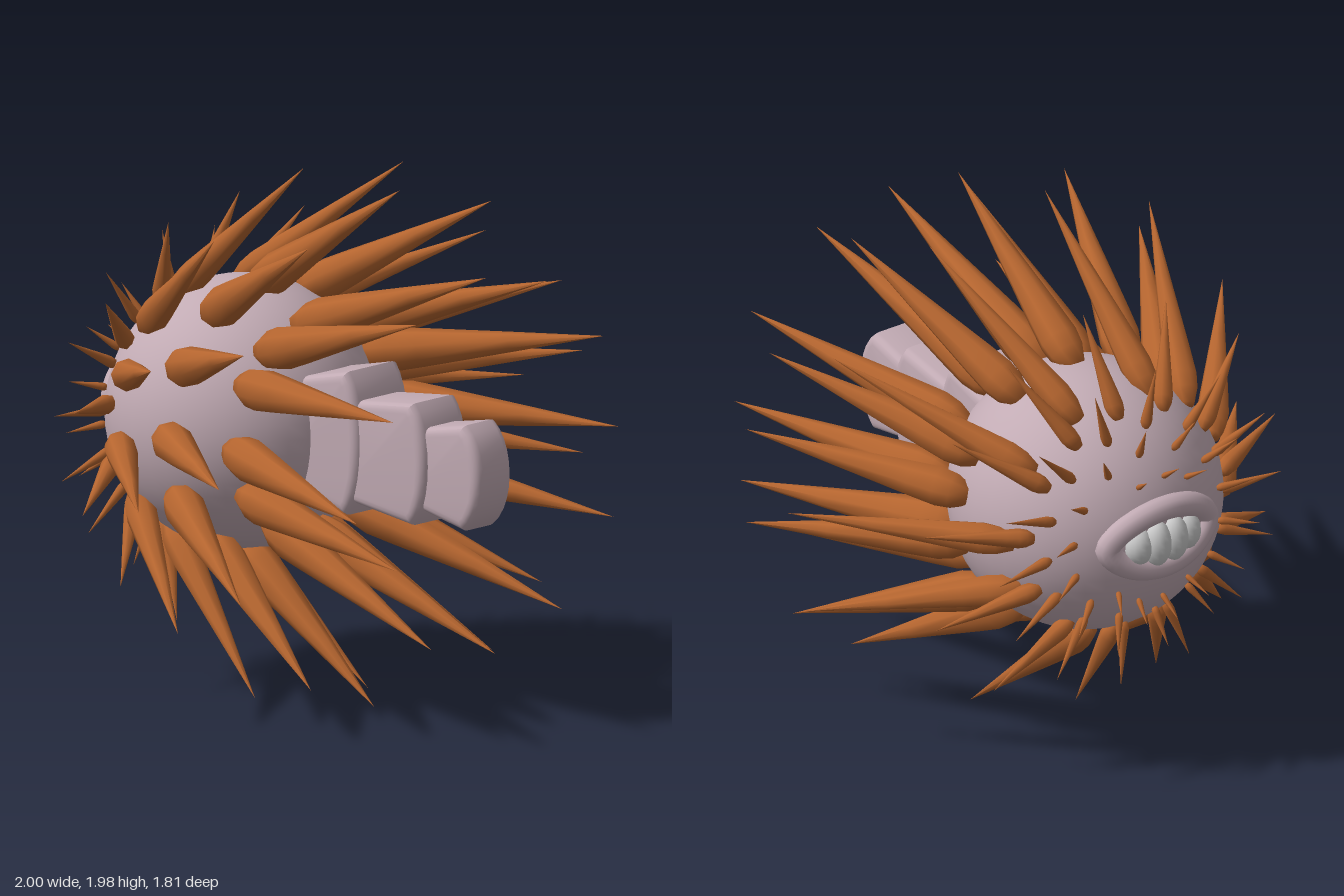
import * as THREE from 'three';
import { toCreasedNormals } from 'three/addons/utils/BufferGeometryUtils.js';

const skin = new THREE.MeshStandardMaterial({ color: 0xc2abb4 });
const horn = new THREE.MeshStandardMaterial({ color: 0xb5652f, side: THREE.DoubleSide });
const grey = new THREE.MeshStandardMaterial({ color: 0xcccccc });
const CY = 1, CZ = -0.38, R = 0.5;
const UP = new THREE.Vector3(0, 1, 0);

// Unit spike: blunt foot, widest near the base, straight long point
const spikeGeometry = new THREE.LatheGeometry(
  [[0, -0.01], [0.55, 0], [0.9, 0.07], [1, 0.14], [0.88, 0.26], [0.46, 0.62], [0, 1]]
    .map(([r, y]) => new THREE.Vector2(r, y)), 8);

function evenAngles(count, start, jitter = 3) {
  return Array.from({ length: count }, (_, i) =>
    start + i * 360 / count + jitter * Math.sin(i * 5.3 + start));
}

// Ring of spikes from (radius, z) at the foot to (radius, z) at the tip;
// an angle may be [foot, tip, tip radius] for a spike that leans its own way
function spikeRing(name, angles, foot, tip, thickness, keep = () => true) {
  const ring = new THREE.Group();
  ring.name = name;
  const at = (r, z, deg) => {
    const a = THREE.MathUtils.degToRad(deg);
    return new THREE.Vector3(r * Math.cos(a), CY + r * Math.sin(a), z);
  };
  angles.forEach((angle, i) => {
    const [footDeg, tipDeg = footDeg, tipR = tip[0]] = [angle].flat();
    const from = at(foot[0], foot[1], footDeg);
    if (!keep(from)) return;
    const dir = at(tipR, tip[1], tipDeg).sub(from);
    const spike = new THREE.Mesh(spikeGeometry, horn);
    spike.name = `${name}Spike${i + 1}`;
    spike.position.copy(from);
    spike.scale.set(thickness, dir.length(), thickness);
    spike.quaternion.setFromUnitVectors(UP, dir.normalize());
    ring.add(spike);
  });
  return ring;
}

// Bevelled block cut from a side profile: narrow root, flared corners, bowed end
function tailSegment(name, width, y, rootZ, rootH, cornerZ, cornerH, endZ) {
  const bevel = 0.035, a = rootH / 2, b = cornerH / 2;
  const side = new THREE.Shape();
  side.moveTo(rootZ, -a);
  side.lineTo(cornerZ, -b);
  side.bezierCurveTo(endZ + 0.01, -b * 0.6, endZ + 0.01, b * 0.6, cornerZ, b);
  side.lineTo(rootZ, a);
  side.closePath();
  const g = new THREE.ExtrudeGeometry(side, {
    depth: width - 2 * bevel, curveSegments: 10,
    bevelThickness: bevel, bevelSize: bevel, bevelOffset: -bevel, bevelSegments: 4,
  });
  g.translate(0, 0, bevel - width / 2);
  g.rotateY(-Math.PI / 2);
  const m = new THREE.Mesh(toCreasedNormals(g, 0.7), skin);
  m.name = name;
  m.position.y = y;
  return m;
}

function createMouth() {
  const mouth = new THREE.Group();
  mouth.name = 'mouth';
  // Almond-shaped lip lying on the sphere
  const points = [];
  for (let i = 0; i < 24; i++) {
    const t = i / 24 * Math.PI * 2, s = Math.sin(t);
    const x = 0.22 * Math.cos(t), y = 0.115 * s * Math.abs(s) ** 0.3;
    points.push(new THREE.Vector3(x, 1.02 + y, CZ - Math.sqrt(R * R - x * x - y * y) + 0.012));
  }
  const curve = new THREE.CatmullRomCurve3(points, true);
  const lips = new THREE.Mesh(new THREE.TubeGeometry(curve, 64, 0.047, 12, true), skin);
  lips.name = 'lips';
  mouth.add(lips);
  // Row of rounded teeth
  for (const [x, rx, ry, z] of [[-0.105, 0.06, 0.075, -0.845], [-0.037, 0.058, 0.09, -0.865],
    [0.037, 0.058, 0.09, -0.865], [0.105, 0.06, 0.075, -0.845]]) {
    const tooth = new THREE.Mesh(new THREE.SphereGeometry(1, 16, 12), grey);
    tooth.name = 'tooth';
    tooth.scale.set(rx, ry, 0.06);
    tooth.position.set(x, 1.01, z);
    mouth.add(tooth);
  }
  return mouth;
}

export function createModel() {
  const model = new THREE.Group();
  model.name = 'spinyCreature';

  const body = new THREE.Mesh(new THREE.SphereGeometry(R, 40, 28), skin);
  body.name = 'body';
  body.position.set(0, CY, CZ);
  model.add(body);

  model.add(
    tailSegment('tailBase', 0.29, 1.005, -0.1, 0.36, 0.26, 0.53, 0.34),
    tailSegment('tailMiddle', 0.25, 0.975, 0.2, 0.36, 0.57, 0.45, 0.65),
    tailSegment('tailTip', 0.19, 0.957, 0.5, 0.27, 0.8, 0.39, 0.9),
    createMouth());

  // Rings run from the long front spikes to the tiny ones round the mouth
  const clearOfMouth = (p) => Math.abs(p.y - 1.02) > 0.17 || Math.abs(p.x) > 0.27;
  model.add(
    spikeRing('front', [[125, 123], [95, 92], 65, [36, 33], [5, 3, 0.66], [-27, -25],
      [-56, -58], [-87, -88], [-118, -116], [-146, -147, 0.57], [-175, -172], [148, 154, 0.56]],
    [0.37, -0.08], [0.7, 0.86], 0.08),
    spikeRing('middle', [91, 61, 30, 12, -11, -41, -61, -99, -120, -152, 180, 150, 121],
      [0.475, -0.31], [0.95, 0.42], 0.075),
    spikeRing('rear', [[110, 98], 68, 37, 2, -23, [-75, -79], -113, -142, -172, 158, [133, 127]],
      [0.455, -0.57], [1.005, 0.06], 0.06),
    spikeRing('small', evenAngles(13, 87), [0.42, -0.64], [0.79, -0.47], 0.036),
    spikeRing('short', evenAngles(14, 98), [0.38, -0.69], [0.63, -0.72], 0.021),
    spikeRing('tiny', evenAngles(14, 86), [0.32, -0.76], [0.46, -0.83], 0.015, clearOfMouth),
    spikeRing('innermost', evenAngles(13, 95), [0.24, -0.815], [0.31, -0.905], 0.011, clearOfMouth));
  return model;
}
